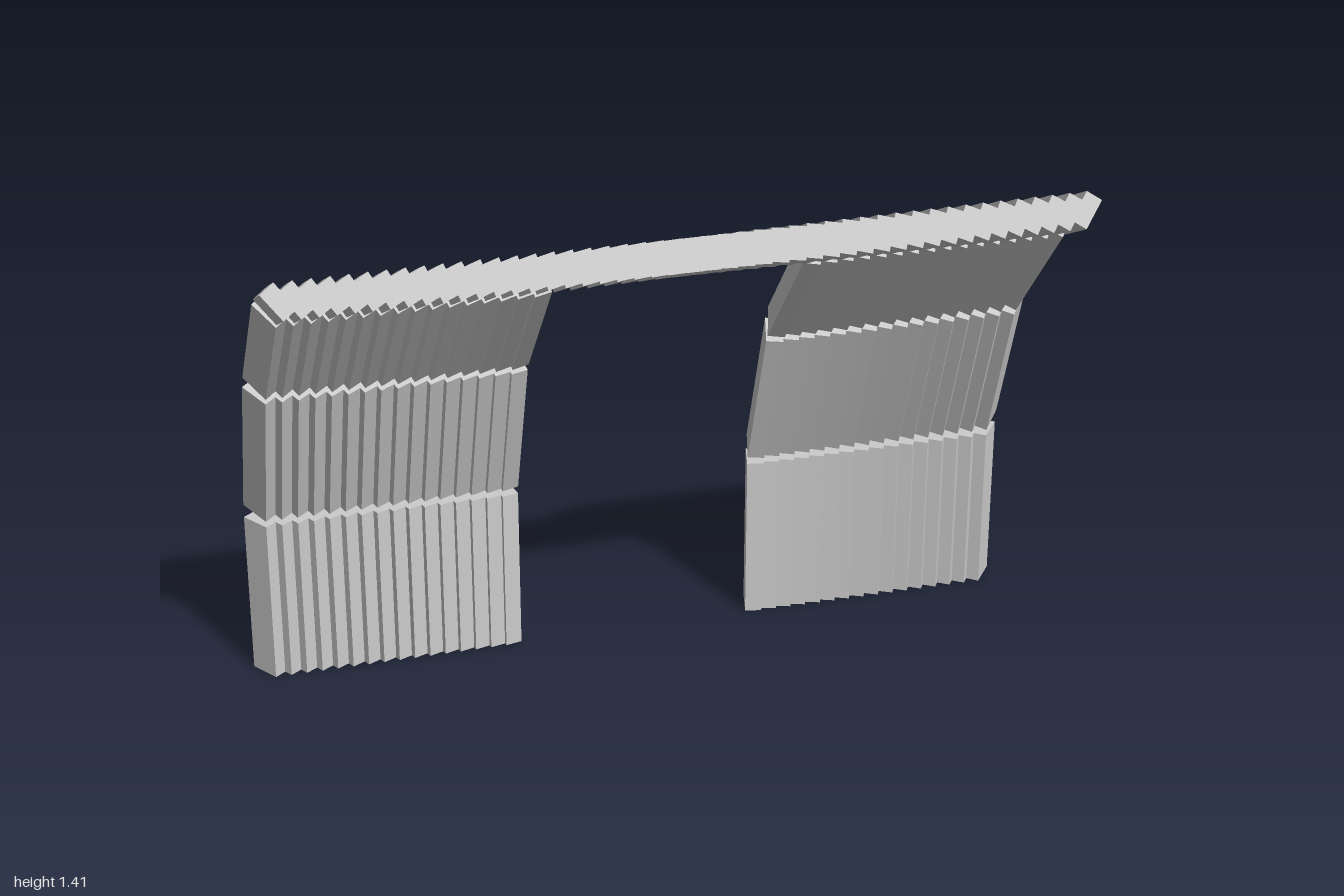
import * as THREE from 'three';

const SLAT_WIDTH = 0.043, SLAT_DEPTH = 0.08;
const HALF_COUNT = 23;                    // slats on each side of the middle one
const REACH = 0.959;                      // x of the outermost slat centre
const MAX_YAW = THREE.MathUtils.degToRad(36);

// Each row leans further forward than the one below it.
const rows = [
  { name: 'lowerPanel', y: 0.225, z: -0.295, height: 0.45, tilt: 0, firstSlat: 8 },
  { name: 'middlePanel', y: 0.692, z: -0.214, height: 0.445, tilt: 20, firstSlat: 8 },
  { name: 'upperPanel', y: 1.103, z: 0.023, height: 0.445, tilt: 40, firstSlat: 8 },
  { name: 'topBeam', y: 1.336, z: 0.259, height: 0.15, tilt: 60, firstSlat: 0 },
];

export function createModel() {
  const model = new THREE.Group();
  model.name = 'slattedArch';
  const grey = new THREE.MeshStandardMaterial({ color: 0xcccccc });
  grey.name = 'light grey';

  for (const row of rows) {
    const group = new THREE.Group();
    group.name = row.name;
    group.position.set(0, row.y, row.z);
    group.rotation.x = THREE.MathUtils.degToRad(row.tilt);

    // Slats turn progressively inward towards the ends of the row.
    const slatShape = new THREE.BoxGeometry(SLAT_WIDTH, row.height, SLAT_DEPTH);
    for (let i = -HALF_COUNT; i <= HALF_COUNT; i++) {
      if (Math.abs(i) < row.firstSlat) continue;
      const t = i / HALF_COUNT;
      const slat = new THREE.Mesh(slatShape, grey);
      slat.name = 'slat';
      slat.position.x = t * REACH;
      slat.rotation.y = -t * MAX_YAW;
      group.add(slat);
    }
    model.add(group);
  }
  return model;
}
